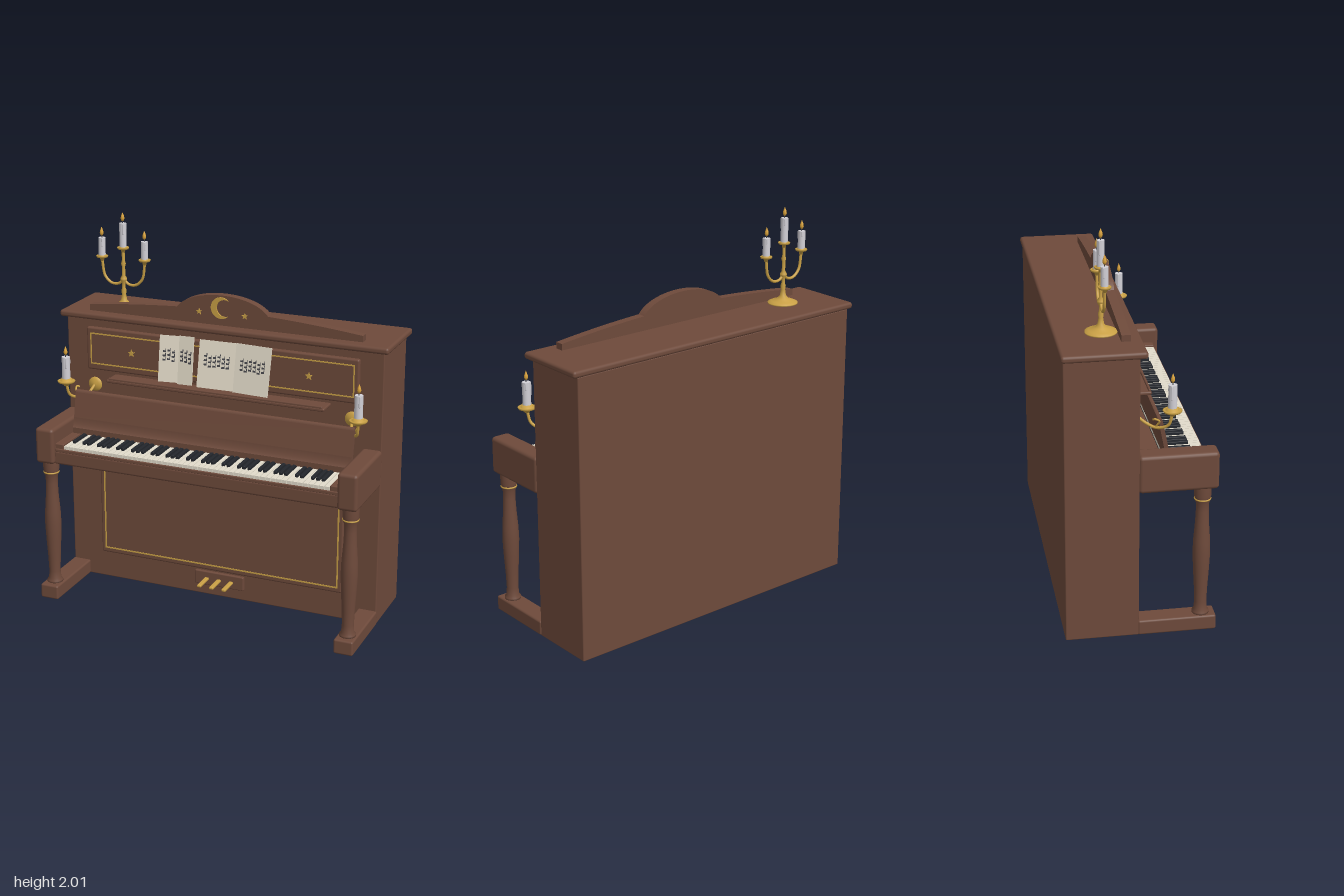
import * as THREE from 'three';
import { RoundedBoxGeometry } from 'three/addons/geometries/RoundedBoxGeometry.js';

const mat = (name, color, side = THREE.FrontSide) => {
  const m = new THREE.MeshStandardMaterial({ color, side });
  m.name = name;
  return m;
};

export function createModel() {
  const wood = mat('walnut wood', 0x6e4a3b);
  const gold = mat('brass', 0xc9a045, THREE.DoubleSide);
  const wax = mat('candle wax', 0xd2d0d6);
  const flameMat = mat('flame', 0xd9a23a);
  const ivory = mat('ivory', 0xe2dccb);
  const ebony = mat('ebony', 0x23262c);
  const paper = mat('paper', 0xe0d8c6);
  const ink = mat('ink', 0x45454a);

  const root = new THREE.Group();
  root.name = 'uprightPiano';

  const add = (name, geo, material, x = 0, y = 0, z = 0, parent = root) => {
    const m = new THREE.Mesh(geo, material);
    m.name = name;
    m.position.set(x, y, z);
    parent.add(m);
    return m;
  };
  // Box given by its limits; r > 0 rounds the edges
  const box = (name, material, [x0, x1], [y0, y1], [z0, z1], r = 0, parent = root) => {
    const s = [x1 - x0, y1 - y0, z1 - z0];
    const geo = r ? new RoundedBoxGeometry(...s, 2, r) : new THREE.BoxGeometry(...s);
    return add(name, geo, material, (x0 + x1) / 2, (y0 + y1) / 2, (z0 + z1) / 2, parent);
  };
  const lathe = (pts, n = 24) => new THREE.LatheGeometry(pts.map(p => new THREE.Vector2(...p)), n);
  const plate = (shape, depth) => new THREE.ExtrudeGeometry(shape, { depth, bevelEnabled: false, curveSegments: 24 });
  const tube = (pts, r) => new THREE.TubeGeometry(
    new THREE.CatmullRomCurve3(pts.map(p => new THREE.Vector3(...p))), 28, r, 8);
  const star = (name, x, y, z, r) => {
    const s = new THREE.Shape();
    for (let i = 0; i < 10; i++) {
      const a = Math.PI / 2 + i * Math.PI / 5, q = i % 2 ? r * 0.42 : r;
      s[i ? 'lineTo' : 'moveTo'](Math.cos(a) * q, Math.sin(a) * q);
    }
    add(name, plate(s, 0.006), gold, x, y, z);
  };
  // Thin rectangular brass frame
  const inlay = (name, hx, y0, y1, z, t) => {
    const rect = (P, a, b, c) => new P([[-a, b], [a, b], [a, c], [-a, c]].map(p => new THREE.Vector2(...p)));
    const s = rect(THREE.Shape, hx, y0, y1);
    s.holes.push(rect(THREE.Path, hx - t, y0 + t, y1 - t));
    add(name, plate(s, 0.004), gold, 0, 0, z);
  };

  // Case and lid
  box('case', wood, [-0.872, 0.872], [0, 1.465], [-0.368, -0.008], 0.006);
  box('lid', wood, [-0.9, 0.9], [1.463, 1.498], [-0.378, 0.025], 0.014);

  // Crest with central dome
  const crest = new THREE.Shape();
  crest.moveTo(-0.75, 1.495);
  crest.lineTo(-0.75, 1.53);
  crest.quadraticCurveTo(-0.5, 1.56, -0.25, 1.572);
  crest.bezierCurveTo(-0.21, 1.625, -0.11, 1.655, 0, 1.655);
  crest.bezierCurveTo(0.11, 1.655, 0.21, 1.625, 0.25, 1.572);
  crest.quadraticCurveTo(0.5, 1.56, 0.75, 1.53);
  crest.lineTo(0.75, 1.495);
  add('crest', plate(crest, 0.045), wood, 0, 0, -0.078);
  const moon = new THREE.Shape();
  moon.absarc(0, 0, 0.056, 0.75, Math.PI * 2 - 0.75, false);
  moon.absarc(0.022, 0, 0.0425, -1.1, 1.1, true);
  const crescent = new THREE.Shape();
  crescent.absarc(0, 0, 0.056, 0.8, Math.PI * 2 - 0.8, false);
  crescent.absarc(0.02, 0, 0.0443, Math.PI * 2 - 1.14, 1.14, true);
  add('crescent', plate(crescent, 0.008), gold, -0.003, 1.59, -0.034);
  for (const s of [-1, 1]) star('crestStar', s * 0.125, 1.56, -0.034, 0.017);

  // Upper panel
  box('upperPanel', wood, [-0.75, 0.75], [1.19, 1.42], [-0.02, 0.014], 0.01);
  inlay('upperInlay', 0.728, 1.222, 1.392, 0.012, 0.007);
  for (const s of [-1, 1]) star('panelStar', s * 0.49, 1.305, 0.012, 0.022);

  // Lower panel and pedals
  box('lowerPanel', wood, [-0.69, 0.69], [0.152, 0.685], [-0.02, 0.014], 0.01);
  inlay('lowerInlay', 0.668, 0.178, 0.658, 0.012, 0.008);
  box('pedalPlate', wood, [-0.14, 0.14], [0.06, 0.138], [-0.02, 0.008], 0.006);
  for (const x of [-0.07, 0, 0.07])
    box('pedal', gold, [x - 0.012, x + 0.012], [0.09, 0.105], [0, 0.115], 0.006);

  // Music shelf with lip
  box('musicShelf', wood, [-0.6, 0.6], [1.155, 1.172], [-0.02, 0.095], 0.006);
  box('shelfLip', wood, [-0.59, 0.59], [1.165, 1.182], [0.08, 0.093], 0.005);

  // Sheet music leaning back: [left, right, bottom, top, fold turn, roll]
  const sheets = new THREE.Group();
  sheets.name = 'sheetMusic';
  sheets.position.set(0, 1.184, 0.082);
  sheets.rotation.x = -0.2;
  root.add(sheets);
  [[-0.31, -0.205, 0.015, 0.255, 0.12, 0.03], [-0.205, -0.12, 0.012, 0.26, -0.12, 0.03],
    [-0.09, 0.105, 0.01, 0.255, 0.07, 0], [0.105, 0.3, 0.005, 0.255, -0.07, -0.015]]
    .forEach(([x0, x1, y0, y1, turn, roll], k) => {
      const page = new THREE.Group();
      page.name = 'page';
      page.position.set((x0 + x1) / 2, (y0 + y1) / 2, 0);
      page.rotation.set(0, turn, roll);
      sheets.add(page);
      const w = x1 - x0, h = y1 - y0;
      box('sheet', paper, [-w / 2, w / 2], [-h / 2, h / 2], [-0.003, 0.003], 0, page);
      const n = Math.floor(w / 0.028);
      for (let r = 0; r < 3; r++) for (let i = 0; i < n; i++) {
        const x = (i - (n - 1) / 2) * 0.024, y = 0.038 - r * 0.022 + 0.005 * Math.sin(i * 2 + k);
        box('note', ink, [x - 0.008, x + 0.008], [y - 0.005, y + 0.004], [0.002, 0.005], 0, page);
        box('noteStem', ink, [x + 0.005, x + 0.008], [y, y + 0.014], [0.002, 0.005], 0, page);
      }
    });

  // Keybed, key slip and leaning fallboard
  box('keybed', wood, [-0.78, 0.78], [0.768, 0.842], [-0.02, 0.355], 0.012);
  box('keySlip', wood, [-0.77, 0.77], [0.835, 0.853], [0.343, 0.354], 0.004);
  for (const s of [-1, 1])
    box('keyBlock', wood, [s * 0.752 - 0.025, s * 0.752 + 0.025], [0.83, 0.878], [0.13, 0.345], 0.005);
  const board = new THREE.Shape();
  board.moveTo(0.162, 0.878);
  board.lineTo(0.162, 0.908);
  board.quadraticCurveTo(0.148, 0.925, 0.145, 0.96);
  board.lineTo(0.118, 1.09);
  board.quadraticCurveTo(0.112, 1.108, 0.096, 1.1);
  board.lineTo(0.128, 0.94);
  board.lineTo(0.135, 0.878);
  const boardGeo = plate(board, 1.536);
  boardGeo.rotateY(-Math.PI / 2);
  add('fallboard', boardGeo, wood, 0.768, 0, 0);

  // 88 keys starting from A
  const pitch = 1.452 / 52;
  box('keyBase', ebony, [-0.728, 0.728], [0.838, 0.848], [0.14, 0.342]);
  for (let i = 0; i < 52; i++) {
    const x = -0.726 + i * pitch;
    box('whiteKey', ivory, [x + 0.0015, x + pitch - 0.0015], [0.846, 0.869], [0.14, 0.343]);
    if (i < 51 && [0, 1, 3, 4, 5].includes((i + 5) % 7))
      box('blackKey', ebony, [x + pitch - 0.0085, x + pitch + 0.0085], [0.86, 0.884], [0.14, 0.283], 0.003);
  }

  // Candle with drips, wick and flame; y = 0 at its foot
  const candle = (parent, x, y, z, h, r) => {
    const g = new THREE.Group();
    g.name = 'candle';
    g.position.set(x, y, z);
    parent.add(g);
    add('waxStick', new THREE.CylinderGeometry(r, r * 1.05, h, 16), wax, 0, h / 2, 0, g);
    for (const [a, l] of [[0.5, 0.4], [2.4, 0.25], [4.3, 0.5]])
      add('waxDrip', new THREE.CapsuleGeometry(r * 0.22, h * l, 3, 8), wax,
        Math.sin(a) * r * 0.95, h * (0.96 - l / 2), Math.cos(a) * r * 0.95, g);
    add('wick', new THREE.CylinderGeometry(0.0025, 0.0025, 0.018, 6), ink, 0, h + 0.007, 0, g);
    add('flame', lathe([[0, 0], [0.007, 0.006], [0.0105, 0.016], [0.008, 0.029], [0.003, 0.042], [0, 0.05]], 12),
      flameMat, 0, h + 0.008, 0, g);
  };
  // Drip cup, y = 0 at its rim
  const cup = (parent, x, y, z, r) =>
    add('dripCup', lathe([[0, -0.03], [r * 0.3, -0.026], [r * 0.35, -0.014], [r * 0.9, -0.008], [r, 0], [r * 0.9, 0.002],
      [r * 0.55, -0.002], [r * 0.55, 0.014], [0, 0.014]]), gold, x, y, z, parent);

  // Side parts, mirrored
  for (const s of [-1, 1]) {
    const side = (a, b) => s > 0 ? [a, b] : [-b, -a];
    box('cheek', wood, side(0.772, 0.876), [0.768, 0.96], [-0.012, 0.376], 0.018);
    box('foot', wood, side(0.774, 0.876), [0, 0.078], [-0.012, 0.376], 0.01);
    add('frontLeg', lathe([[0, 0.075], [0.042, 0.075], [0.042, 0.088], [0.033, 0.1], [0.03, 0.14], [0.033, 0.22],
      [0.039, 0.32], [0.043, 0.41], [0.041, 0.48], [0.034, 0.57], [0.031, 0.64], [0.032, 0.68], [0.039, 0.695],
      [0.039, 0.71], [0.042, 0.72], [0.042, 0.77]]), wood, s * 0.825, 0, 0.305);
    const ring = add('legRing', new THREE.TorusGeometry(0.038, 0.0045, 8, 24), gold, s * 0.825, 0.703, 0.305);
    ring.rotation.x = Math.PI / 2;

    // Wall sconce
    const sconce = new THREE.Group();
    sconce.name = 'sconce';
    root.add(sconce);
    const rose = add('sconceRosette', lathe([[0.038, 0], [0.038, 0.006], [0.025, 0.012], [0.012, 0.016], [0, 0.018]]),
      gold, s * 0.715, 1.105, -0.008, sconce);
    rose.rotation.x = Math.PI / 2;
    add('sconceArm', tube([[s * 0.715, 1.105, 0], [s * 0.73, 1.07, 0.045], [s * 0.76, 1.057, 0.09],
      [s * 0.79, 1.08, 0.14], [s * 0.8, 1.14, 0.157]], 0.0075), gold, 0, 0, 0, sconce);
    add('sconceScroll', tube([[s * 0.755, 1.06, 0.085], [s * 0.775, 1.095, 0.1], [s * 0.78, 1.11, 0.08],
      [s * 0.77, 1.105, 0.07]], 0.005), gold, 0, 0, 0, sconce);
    cup(sconce, s * 0.8, 1.16, 0.157, 0.047);
    candle(sconce, s * 0.8, 1.165, 0.157, 0.125, 0.021);
  }

  // Three-armed candelabrum
  const stand = new THREE.Group();
  stand.name = 'candelabrum';
  stand.position.set(-0.61, 0, -0.153);
  root.add(stand);
  add('stem', lathe([[0, 1.497], [0.078, 1.497], [0.078, 1.504], [0.06, 1.512], [0.03, 1.522], [0.016, 1.54],
    [0.011, 1.57], [0.014, 1.59], [0.009, 1.605], [0.009, 1.63], [0.018, 1.645], [0.018, 1.655], [0.009, 1.67],
    [0.009, 1.72], [0.013, 1.735], [0.008, 1.75], [0.008, 1.8]]), gold, 0, 0, 0, stand);
  cup(stand, 0, 1.82, 0, 0.032);
  candle(stand, 0, 1.824, 0, 0.125, 0.018);
  for (const s of [-1, 1]) {
    add('arm', tube([[0, 1.65, 0], [s * 0.03, 1.625, 0], [s * 0.07, 1.625, 0], [s * 0.108, 1.66, 0],
      [s * 0.123, 1.74, 0]], 0.0075), gold, 0, 0, 0, stand);
    cup(stand, s * 0.123, 1.765, 0, 0.032);
    candle(stand, s * 0.123, 1.77, 0, 0.092, 0.018);
  }

  return root;
}
